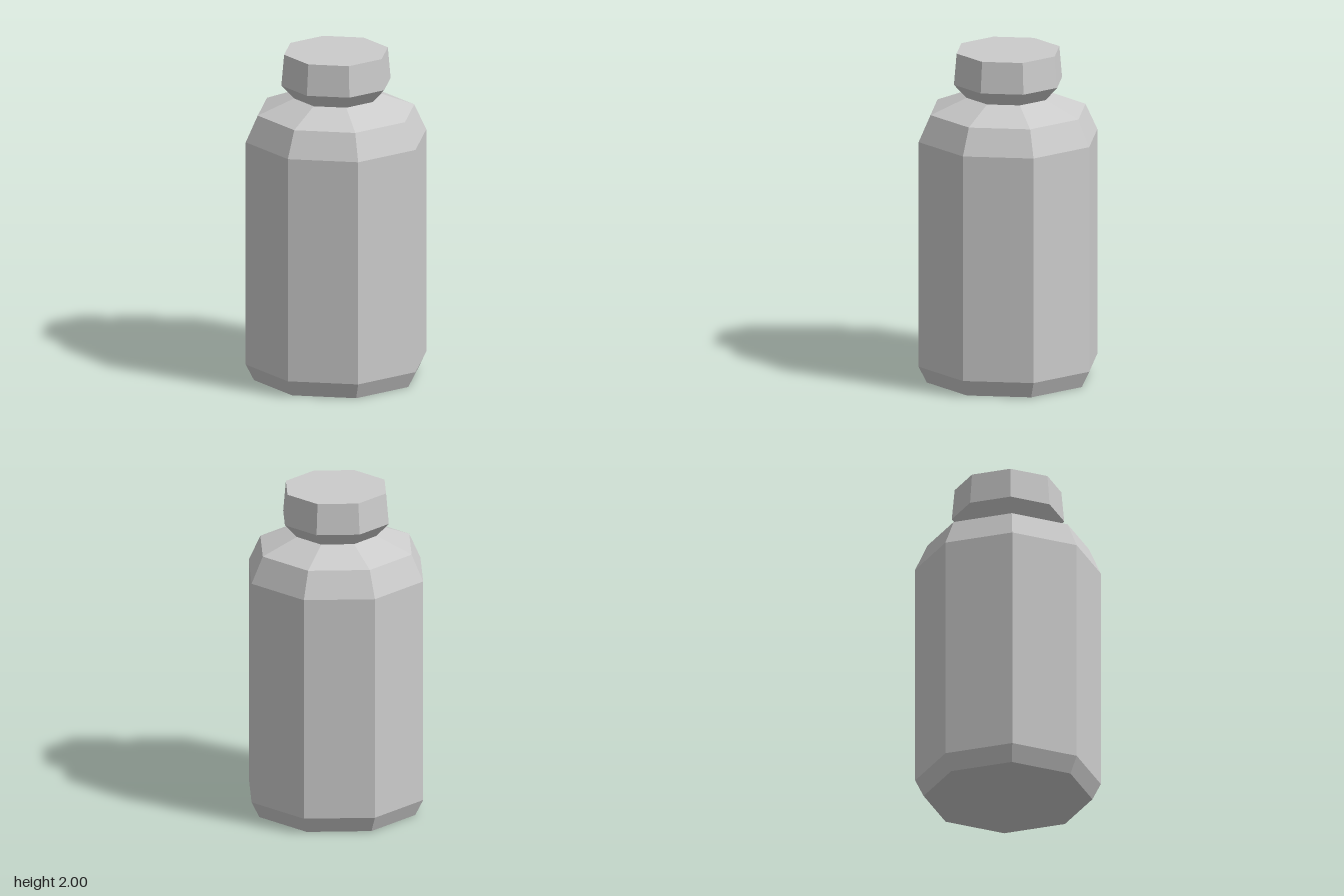
import * as THREE from 'three';

const SIDES = 8;

export function createModel() {
  const group = new THREE.Group();
  group.name = 'jar';
  const material = new THREE.MeshStandardMaterial({ color: 0xcccccc, flatShading: true });

  // Eight-sided turned part from a [radius, height] profile, bottom to top
  const turned = (name, profile) => {
    const points = profile.map(([r, y]) => new THREE.Vector2(r, y));
    const mesh = new THREE.Mesh(new THREE.LatheGeometry(points, SIDES), material);
    mesh.name = name;
    group.add(mesh);
  };

  // Body: flat base, bevelled foot, straight wall, two-step shoulder up to the neck
  turned('body', [[0, 0], [0.5, 0], [0.55, 0.1], [0.55, 1.475], [0.477, 1.635], [0.255, 1.725]]);

  // Cap: flares out from the neck, tapers slightly, closed flat on top
  turned('cap', [[0.255, 1.725], [0.333, 1.81], [0.316, 2], [0, 2]]);

  return group;
}
